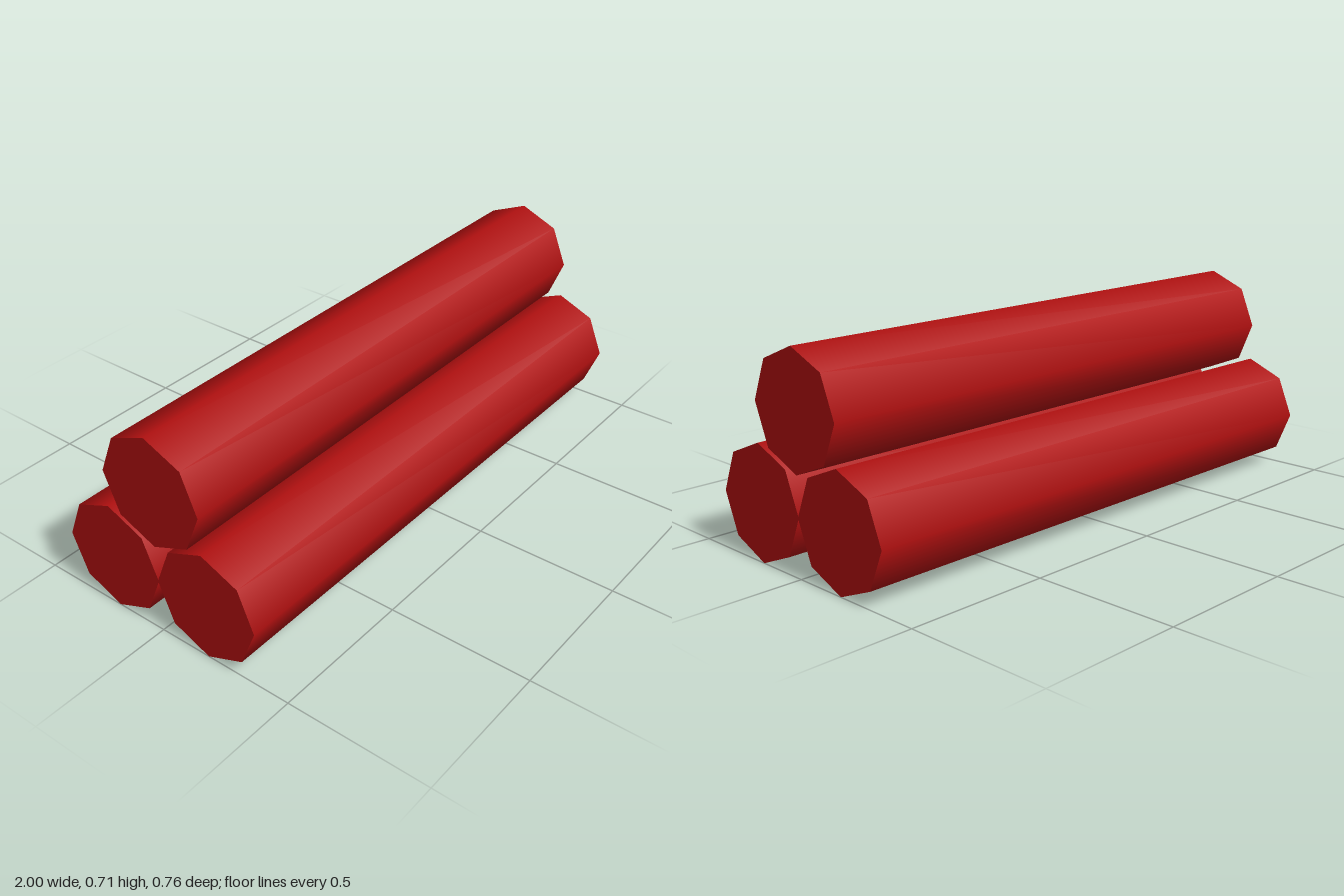
import * as THREE from 'three';

export function createModel() {
  const model = new THREE.Group();
  const material = new THREE.MeshStandardMaterial({ color: 0xb01010 });

  // Eight-sided rod lying along x, smooth around its side, flat at the ends
  const radius = 0.192;
  const rod = new THREE.CylinderGeometry(radius, radius, 2, 8);
  rod.rotateZ(Math.PI / 2);

  // Two rods side by side with a third resting on top
  const rods = [
    ['frontRod', radius, 0.19],
    ['backRod', radius, -0.19],
    ['topRod', 0.515, 0],
  ];
  for (const [name, y, z] of rods) {
    const mesh = new THREE.Mesh(rod, material);
    mesh.name = name;
    mesh.position.set(0, y, z);
    model.add(mesh);
  }
  return model;
}
